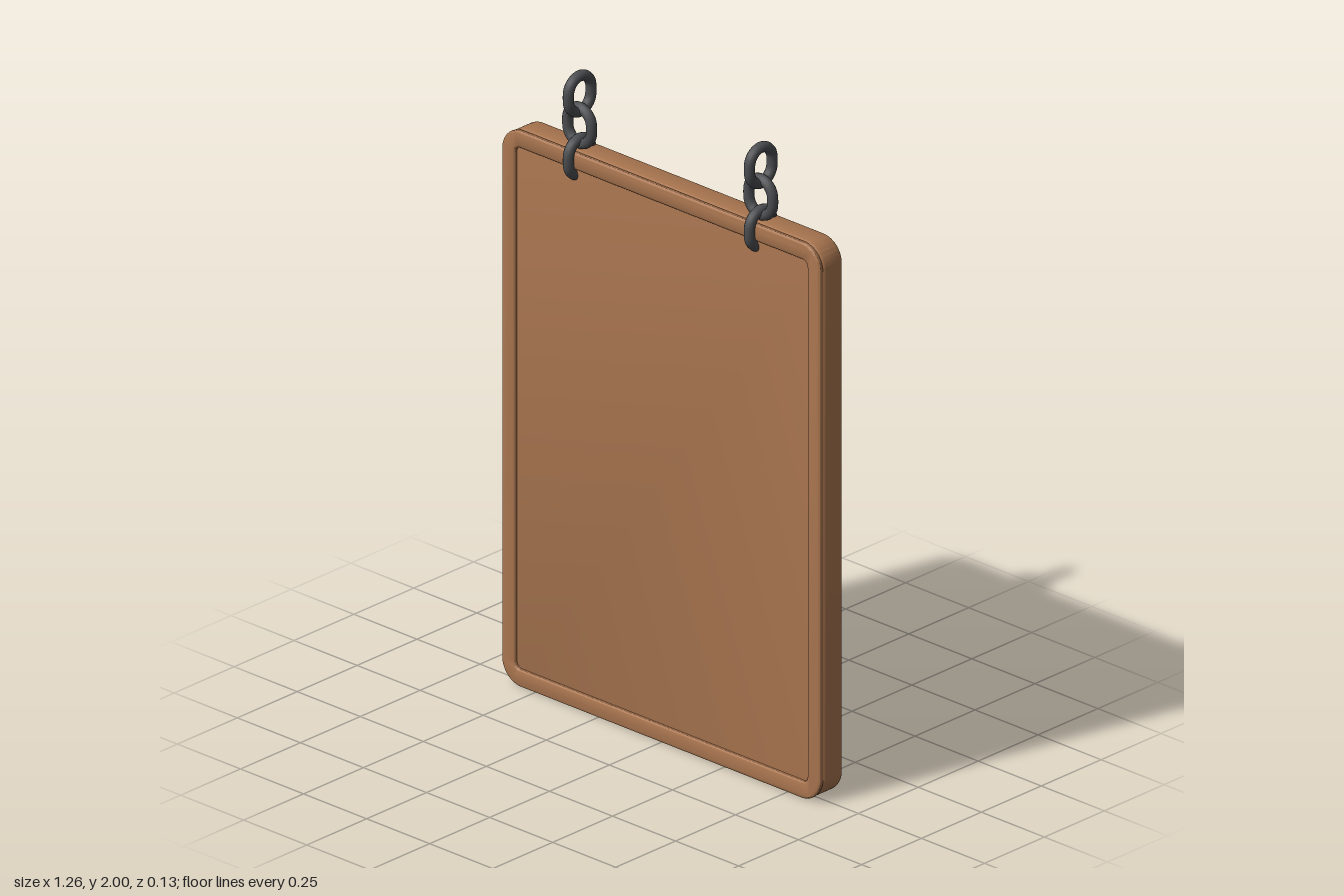
import * as THREE from 'three';
import { toCreasedNormals } from 'three/addons/utils/BufferGeometryUtils.js';

const CENTER_Y = 0.878;

// Rounded rectangle outline centred on the origin
function roundedRect(path, halfW, halfH, r) {
  path.moveTo(halfW, -halfH + r);
  path.absarc(halfW - r, halfH - r, r, 0, Math.PI / 2);
  path.absarc(-halfW + r, halfH - r, r, Math.PI / 2, Math.PI);
  path.absarc(-halfW + r, -halfH + r, r, Math.PI, Math.PI * 1.5);
  path.absarc(halfW - r, -halfH + r, r, Math.PI * 1.5, Math.PI * 2);
  return path;
}

// Extrusion with rounded edges that fills the span from z0 to z1
function roundedSlab(shape, z0, z1, bevel) {
  const geometry = new THREE.ExtrudeGeometry(shape, {
    depth: z1 - z0 - 2 * bevel,
    bevelThickness: bevel,
    bevelSize: bevel,
    bevelSegments: 5,
    curveSegments: 12,
  });
  geometry.translate(0, CENTER_Y, z0 + bevel);
  return toCreasedNormals(geometry, 0.7);
}

// Closed oval chain link standing in the xy plane
function linkGeometry() {
  const r = 0.047, straight = 0.009, points = [];
  for (let i = 0; i < 24; i++) {
    const a = ((i + 0.5) / 24) * Math.PI * 2;
    const y = Math.sin(a);
    points.push(new THREE.Vector3(Math.cos(a) * r, y * r + Math.sign(y) * straight, 0));
  }
  const curve = new THREE.CatmullRomCurve3(points, true);
  return new THREE.TubeGeometry(curve, 48, 0.0165, 12, true);
}

export function createModel() {
  const model = new THREE.Group();
  model.name = 'hangingSign';
  const wood = new THREE.MeshStandardMaterial({ color: 0xaa7650 });
  wood.name = 'wood';
  const iron = new THREE.MeshStandardMaterial({ color: 0x4b4d50 });
  iron.name = 'darkIron';

  // Board
  const b = 0.015;
  const boardShape = roundedRect(new THREE.Shape(), 0.63 - b, 0.877 - b, 0.075 - b);
  const board = new THREE.Mesh(roundedSlab(boardShape, -0.066, 0.024, b), wood);
  board.name = 'board';
  model.add(board);

  // Raised border around the front face
  const f = 0.006;
  const frameShape = roundedRect(new THREE.Shape(), 0.631 - f, 0.878 - f, 0.075 - f);
  frameShape.holes.push(roundedRect(new THREE.Path(), 0.58 + f, 0.825 + f, 0.02 + f));
  const frame = new THREE.Mesh(roundedSlab(frameShape, 0.019, 0.036, f), wood);
  frame.name = 'frontBorder';
  model.add(frame);

  // Two chains of three links, alternate links turned a quarter
  const geometry = linkGeometry();
  [['rightChain', -0.355], ['leftChain', 0.363]].forEach(([name, x]) => {
    const chain = new THREE.Group();
    chain.name = name;
    chain.position.x = x;
    [1.73, 1.828, 1.928].forEach((y, i) => {
      const link = new THREE.Mesh(geometry, iron);
      link.name = 'chainLink' + (i + 1);
      link.position.y = y;
      if (i !== 1) link.rotation.y = Math.PI / 2;
      chain.add(link);
    });
    model.add(chain);
  });

  return model;
}
